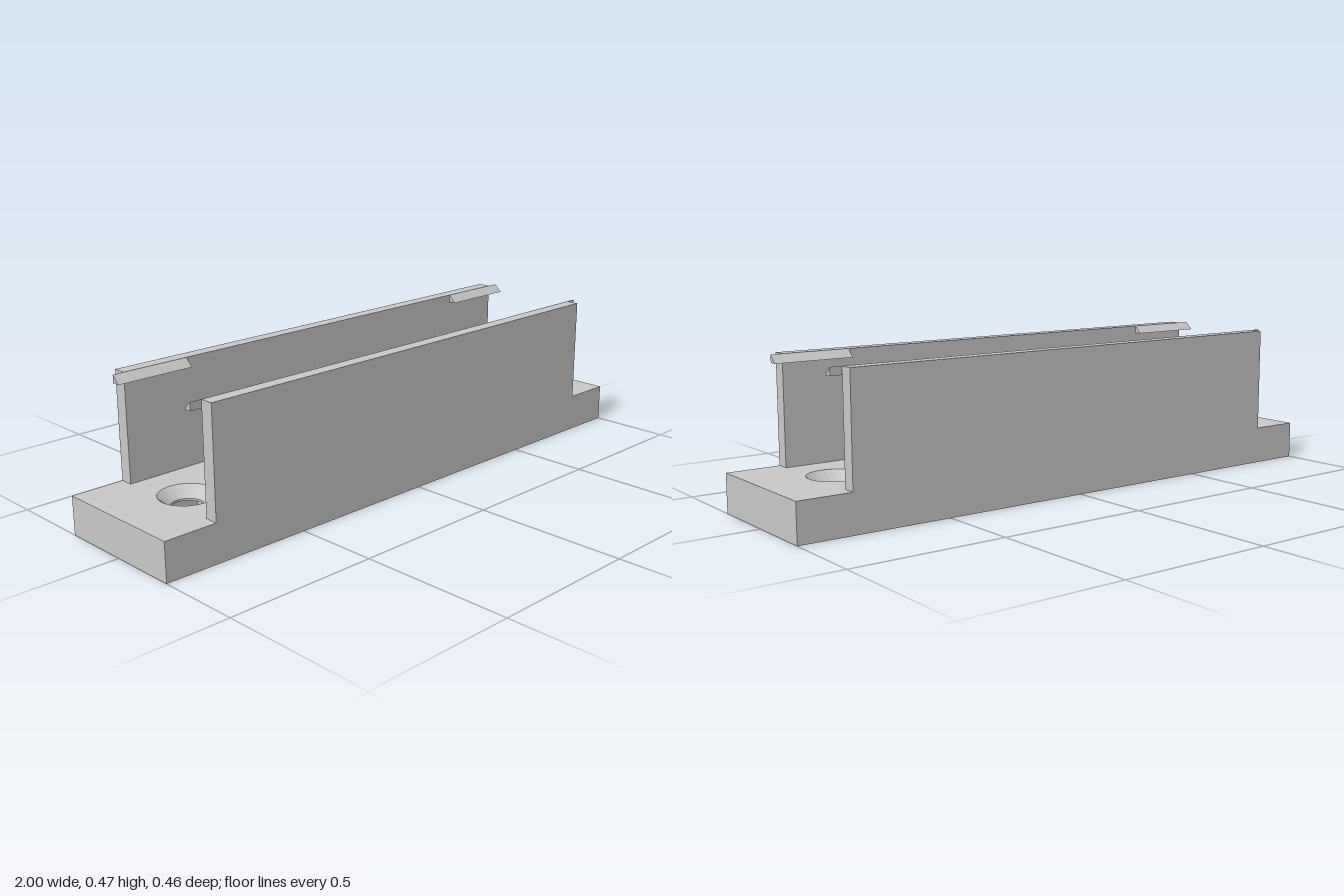
import * as THREE from 'three';
import { mergeGeometries, toCreasedNormals } from 'three/addons/utils/BufferGeometryUtils.js';

const HALF_W = 0.2275, BASE_H = 0.125, POCKET_H = 0.085, POCKET = 0.283;
const HOLE_R = 0.05, SINK_R = 0.088, HOLE_X = [-0.755, 0, 0.755];
const WALL_TOP = 0.4745, WALL_IN = 0.184, HOOK_LEN = 0.263;

const rect = (Type, cx, w, h) => new Type([
  [-w / 2, -h / 2], [w / 2, -h / 2], [w / 2, h / 2], [-w / 2, h / 2],
].map(([x, y]) => new THREE.Vector2(cx + x, y)));

const circle = (cx, r) => {
  const p = new THREE.Path();
  p.absarc(cx, 0, r, 0, Math.PI * 2, true);
  return p;
};

// flat horizontal face with holes, facing up (dir 1) or down (dir -1)
function face(shape, holes, y, dir) {
  shape.holes = holes;
  return new THREE.ShapeGeometry(shape, 24).rotateX(-dir * Math.PI / 2).translate(0, y, 0).toNonIndexed();
}

// four upright sides of a box without lids; inward faces them to the inside
function sides(cx, w, d, h, inward) {
  const g = new THREE.CylinderGeometry(Math.SQRT1_2, Math.SQRT1_2, 1, 4, 1, true).rotateY(Math.PI / 4);
  let s = g.scale(w, h, d).toNonIndexed();
  if (inward) {
    // reverse the corner order of each triangle
    const n = s.attributes.position.count;
    const order = Array.from({ length: n }, (_, i) => i - (i % 3) + (2 - (i % 3)));
    s.setIndex(order);
    s = s.toNonIndexed();
  }
  s.translate(cx, h / 2, 0).computeVertexNormals();
  return s;
}

export function createModel() {
  const group = new THREE.Group();
  const grey = new THREE.MeshStandardMaterial({ color: 0xc8c8c8 });
  grey.name = 'light grey plastic';
  const add = (name, geometry) => {
    const mesh = new THREE.Mesh(geometry, grey);
    mesh.name = name;
    group.add(mesh);
    return mesh;
  };

  // base plate, open where the screw holes and square pockets are
  const plate = () => rect(THREE.Shape, 0, 2, HALF_W * 2);
  add('base', mergeGeometries([
    sides(0, 2, HALF_W * 2, BASE_H, false),
    face(plate(), HOLE_X.map(x => circle(x, SINK_R)), BASE_H, 1),
    face(plate(), HOLE_X.map(x => rect(THREE.Path, x, POCKET, POCKET)), 0, -1),
  ]));

  for (const x of HOLE_X) {
    // square pocket under the base
    add('pocket', mergeGeometries([
      sides(x, POCKET, POCKET, POCKET_H, true),
      face(rect(THREE.Shape, x, POCKET, POCKET), [circle(x, HOLE_R)], POCKET_H, -1),
    ]));
    // countersunk screw hole, profile runs downwards so it faces inwards
    const profile = [[SINK_R, BASE_H], [HOLE_R, 0.092], [HOLE_R, POCKET_H]];
    const hole = new THREE.LatheGeometry(profile.map(p => new THREE.Vector2(...p)), 48);
    add('screwHole', toCreasedNormals(hole, 0.5)).position.x = x;
  }

  for (const s of [-1, 1]) {
    // upright side wall
    add('sideWall', new THREE.BoxGeometry(1.65, WALL_TOP - BASE_H, HALF_W - WALL_IN))
      .position.set(0, (WALL_TOP + BASE_H) / 2, s * (HALF_W + WALL_IN) / 2);

    // wedge-shaped snap hooks at both ends of the wall
    const wedge = new THREE.Shape([[0.183, 0.449], [0.183, WALL_TOP], [0.157, 0.449]]
      .map(([z, y]) => new THREE.Vector2(s * z, y)));
    for (const x of [-0.7315, 0.7315]) {
      const hook = new THREE.ExtrudeGeometry(wedge, { depth: HOOK_LEN, bevelEnabled: false });
      hook.translate(0, 0, -HOOK_LEN / 2).rotateY(-Math.PI / 2);
      add('snapHook', hook).position.x = x;
    }
  }
  return group;
}
